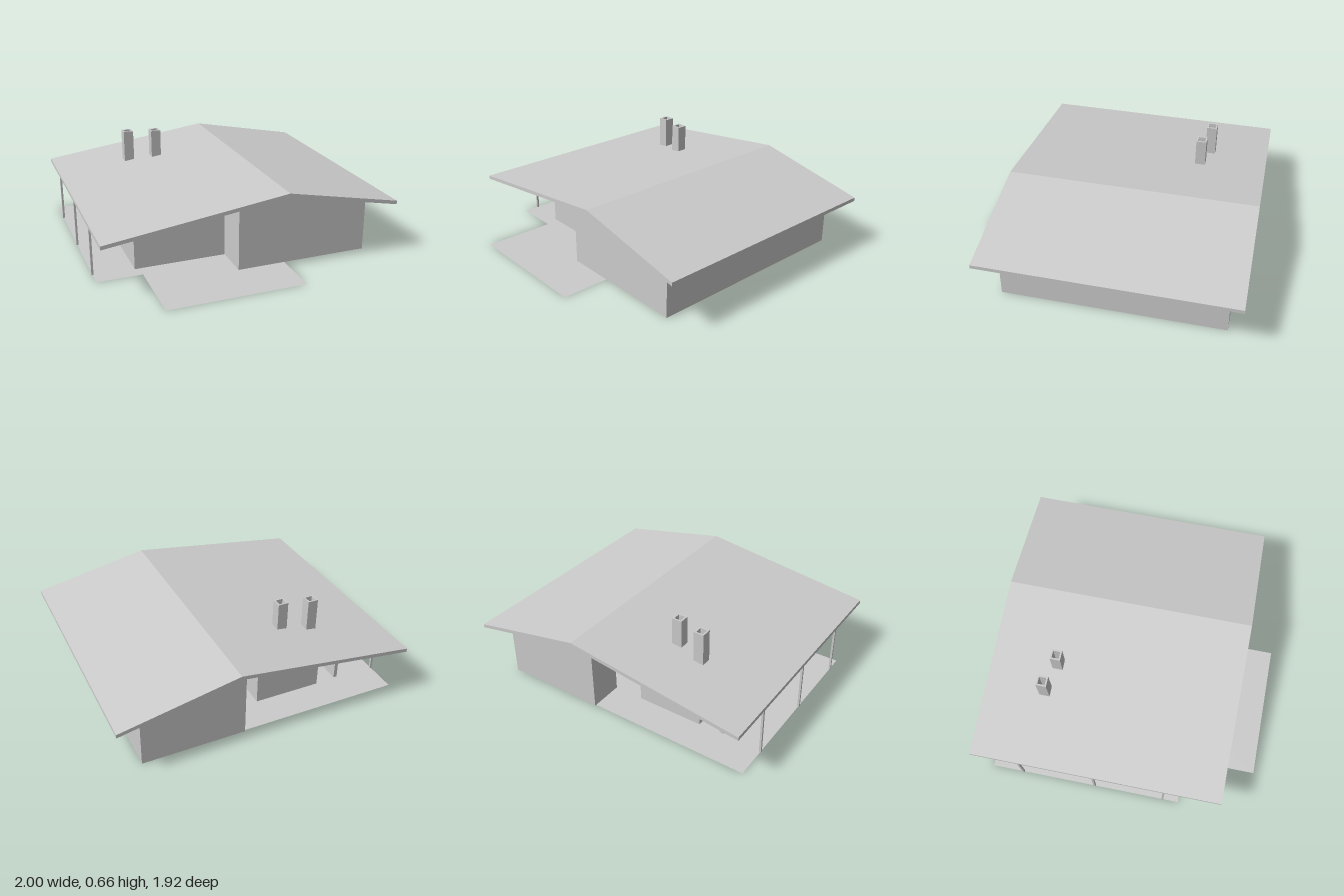
import * as THREE from 'three';

const RIDGE_X = 0.21, THICK = 0.025;
const solid = new THREE.MeshStandardMaterial({ color: 0xcccccc, flatShading: true });
const sheet = new THREE.MeshStandardMaterial({ color: 0xcccccc, flatShading: true, side: THREE.DoubleSide });

// height of the roof underside at x
function roofUnder(x) {
  const t = x < RIDGE_X ? (x + 1) / (RIDGE_X + 1) : (1 - x) / (1 - RIDGE_X);
  return 0.345 + 0.16 * t;
}

function polygon(points) {
  return new THREE.Shape(points.map(([x, y]) => new THREE.Vector2(x, y)));
}

function square(cx, cy, half, Type) {
  const h = half;
  return new Type([[-h, -h], [h, -h], [h, h], [-h, h]].map(([x, y]) => new THREE.Vector2(cx + x, cy + y)));
}

// upright sheets along a closed plan outline of [x, z], rising to the roof underside
function wallsGeometry(outline) {
  const positions = [];
  const panel = ([x0, z0], [x1, z1]) => {
    const a = [x0, 0, z0], b = [x1, 0, z1];
    const c = [x1, roofUnder(x1), z1], d = [x0, roofUnder(x0), z0];
    positions.push(...a, ...b, ...c, ...a, ...c, ...d);
  };
  outline.forEach((p, i) => {
    const q = outline[(i + 1) % outline.length];
    if ((p[0] - RIDGE_X) * (q[0] - RIDGE_X) < 0) {
      // split walls that cross below the ridge
      const mid = [RIDGE_X, p[1]];
      panel(p, mid);
      panel(mid, q);
    } else panel(p, q);
  });
  const geometry = new THREE.BufferGeometry();
  geometry.setAttribute('position', new THREE.Float32BufferAttribute(positions, 3));
  geometry.computeVertexNormals();
  return geometry;
}

export function createModel() {
  const model = new THREE.Group();
  const add = (name, geometry, material = solid) => {
    const mesh = new THREE.Mesh(geometry, material);
    mesh.name = name;
    model.add(mesh);
    return mesh;
  };

  // asymmetric gable roof
  const roof = polygon([
    [-1, 0.345], [RIDGE_X, 0.505], [1, 0.345],
    [1, 0.345 + THICK], [RIDGE_X, 0.505 + THICK], [-1, 0.345 + THICK],
  ]);
  add('roof', new THREE.ExtrudeGeometry(roof, { depth: 1.705, bevelEnabled: false }).translate(0, 0, -0.96));

  // outer walls, open below
  add('walls', wallsGeometry([
    [0.83, 0.63], [0.83, -0.87], [0.13, -0.87], [0.13, -0.64], [0.24, -0.64], [0.24, -0.47],
    [-0.075, -0.47], [-0.075, -0.64], [-0.54, -0.64], [-0.54, -0.47],
    [-0.71, -0.47], [-0.71, 0.38], [-0.085, 0.38], [-0.085, 0.63],
  ]), sheet);

  // short wall sheltering the rear terrace
  add('wingWall', wallsGeometry([[-0.71, -0.47], [-0.685, -0.47], [-0.685, -0.63], [-0.71, -0.63]]), sheet);

  // paper-thin terrace (plan drawn with y = -z)
  const terrace = polygon([
    [0.24, 0.96], [-0.68, 0.96], [-0.68, 0.47], [-0.985, 0.47],
    [-0.985, -0.86], [0.13, -0.86], [0.13, -0.64], [0.24, -0.64],
  ].map(([x, z]) => [x, -z]));
  add('terrace', new THREE.ShapeGeometry(terrace).rotateX(-Math.PI / 2), sheet);

  // slender posts under the wide eave
  for (const z of [-0.64, -0.125, 0.36]) {
    add('post', new THREE.BoxGeometry(0.014, 0.345, 0.014)).position.set(-0.984, 0.1735, z);
  }

  // hollow chimneys
  for (const [x, z] of [[-0.49, -0.55], [-0.297, -0.502]]) {
    const shape = square(0, 0, 0.035, THREE.Shape);
    shape.holes.push(square(0, 0, 0.024, THREE.Path));
    const base = roofUnder(x) + THICK / 2;
    const geometry = new THREE.ExtrudeGeometry(shape, { depth: 0.655 - base, bevelEnabled: false });
    add('chimney', geometry.rotateX(-Math.PI / 2)).position.set(x, base, z);
  }
  return model;
}
